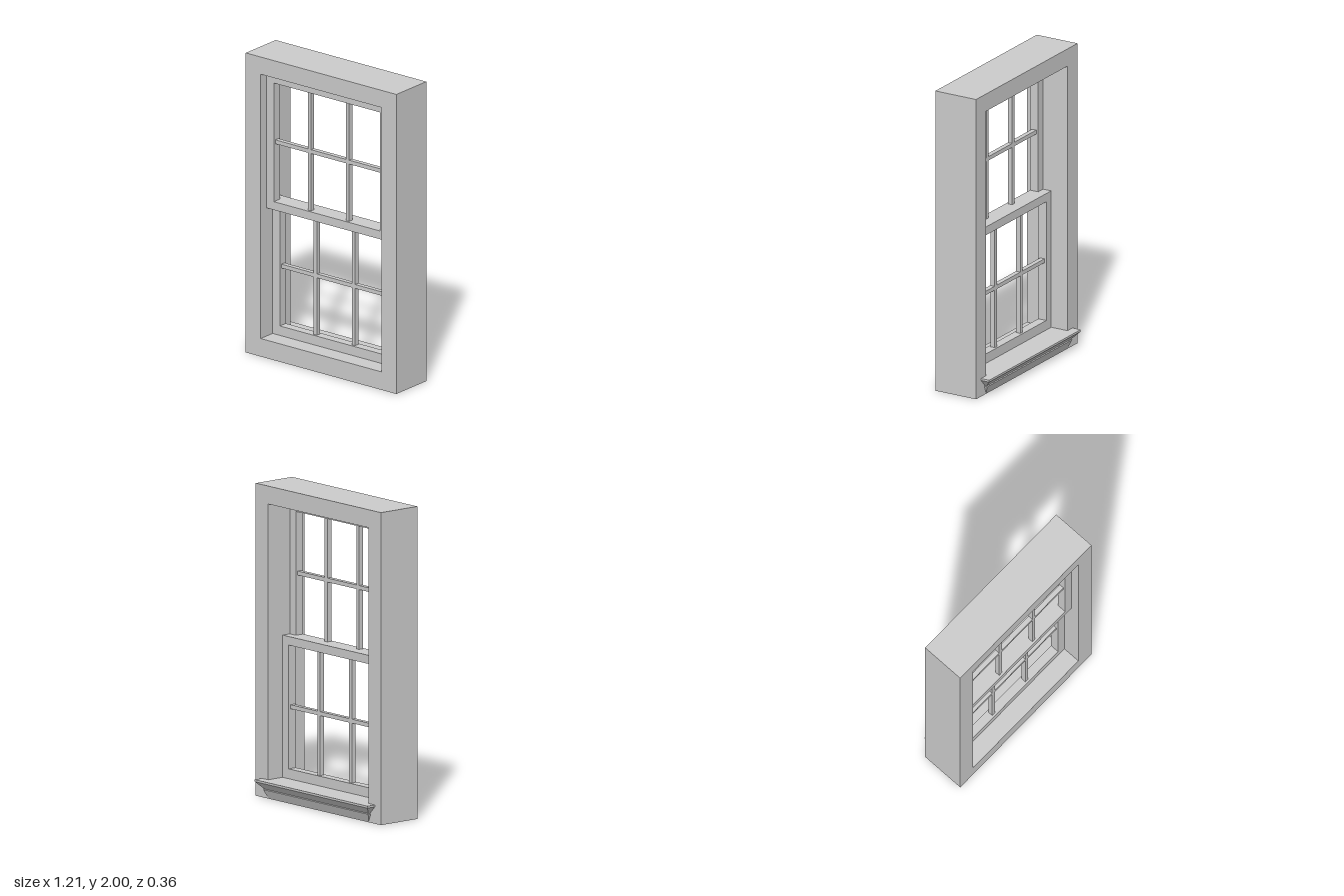
import * as THREE from 'three';

const material = new THREE.MeshStandardMaterial({ color: 0xcccccc, flatShading: true });

function addMesh(parent, name, geometry) {
  const mesh = new THREE.Mesh(geometry, material);
  mesh.name = name;
  parent.add(mesh);
  return mesh;
}

function rectPoints(halfW, y0, y1) {
  return [[-halfW, y0], [halfW, y0], [halfW, y1], [-halfW, y1]].map(([x, y]) => new THREE.Vector2(x, y));
}

// Rectangular ring: outer and inner are [halfWidth, bottom, top]
function ring(outer, inner, zBack, zFront) {
  const shape = new THREE.Shape(rectPoints(...outer));
  shape.holes.push(new THREE.Path(rectPoints(...inner).reverse()));
  const g = new THREE.ExtrudeGeometry(shape, { depth: zFront - zBack, bevelEnabled: false });
  return g.translate(0, 0, zBack);
}

// Sash: ring of stiles and rails with a 3 x 2 grid of glazing bars
function makeSash(name, outer, inner, zBack, zFront) {
  const sash = new THREE.Group();
  sash.name = name;
  addMesh(sash, 'sashFrame', ring(outer, inner, zBack, zFront));
  const [halfW, y0, y1] = inner;
  const bar = 0.026, depth = 0.032, z = (zBack + zFront) / 2, midY = (y0 + y1) / 2;
  for (const x of [-0.153, 0.153]) {
    addMesh(sash, 'verticalGlazingBar', new THREE.BoxGeometry(bar, y1 - y0, depth)).position.set(x, midY, z);
  }
  addMesh(sash, 'horizontalGlazingBar', new THREE.BoxGeometry(halfW * 2, bar, depth)).position.set(0, midY, z);
  return sash;
}

// Sill moulding with mitred returns: each profile point is [outward offset, height]
function sillGeometry(halfW, zWall, profile) {
  const pos = [];
  const corners = ([o, y]) => [
    [halfW + o, y, zWall], [halfW + o, y, zWall - o],
    [-halfW - o, y, zWall - o], [-halfW - o, y, zWall],
  ];
  const quad = (a, b, c, d) => pos.push(...a, ...b, ...c, ...a, ...c, ...d);
  for (let i = 0; i < profile.length - 1; i++) {
    const lo = corners(profile[i]), hi = corners(profile[i + 1]);
    for (let k = 0; k < 3; k++) quad(lo[k], lo[k + 1], hi[k + 1], hi[k]);
  }
  const top = corners(profile[profile.length - 1]);
  quad(top[0], top[1], top[2], top[3]);
  const g = new THREE.BufferGeometry();
  g.setAttribute('position', new THREE.Float32BufferAttribute(pos, 3));
  g.computeVertexNormals();
  return g;
}

export function createModel() {
  const model = new THREE.Group();
  model.name = 'sashWindow';

  // Deep outer casing
  addMesh(model, 'casing', ring([0.605, 0, 2], [0.485, 0.12, 1.885], -0.12, 0.18));

  // Upper sash sits in front of the lower one, overlapping at the meeting rail
  model.add(makeSash('upperSash', [0.485, 0.975, 1.885], [0.427, 1.03, 1.822], 0.06, 0.12));
  model.add(makeSash('lowerSash', [0.485, 0.12, 1.03], [0.427, 0.183, 0.975], 0, 0.06));

  // Moulded sill on the back
  const profile = [[0, 0.003], [0.022, 0.057], [0.015, 0.06], [0.06, 0.107], [0.06, 0.12]];
  const sill = addMesh(model, 'sill', sillGeometry(0.485, -0.12, profile));
  sill.material = material.clone();
  sill.material.side = THREE.DoubleSide;

  return model;
}
